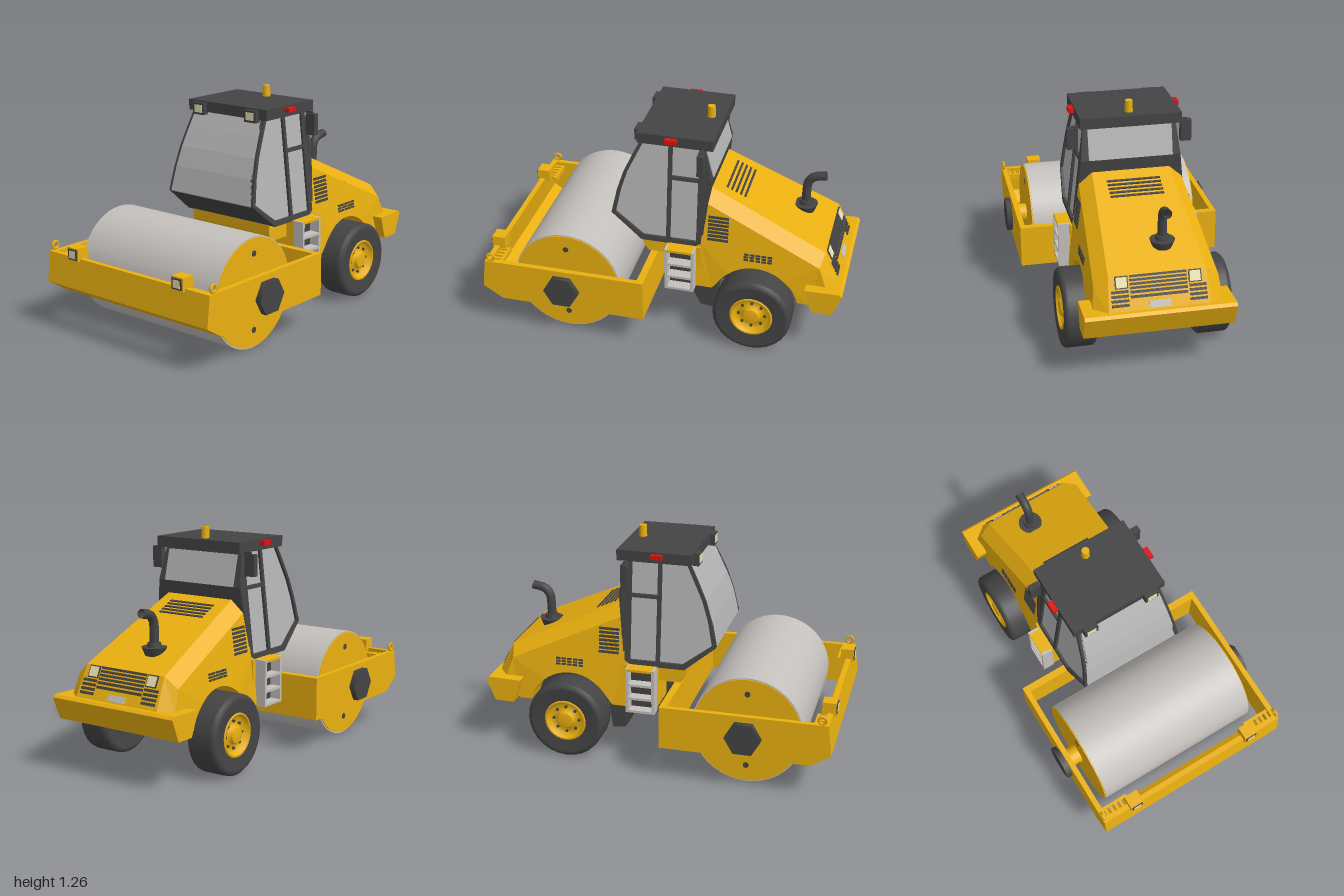
import * as THREE from 'three';

const mat = (color, side = THREE.FrontSide) => new THREE.MeshStandardMaterial({ color, side });
const yellow = mat(0xeab010), dark = mat(0x444444), steel = mat(0xc4c0bc), glass = mat(0xb4b4b4);
const red = mat(0xe01010), cream = mat(0xe8e0b0), yellowThin = mat(0xeab010, THREE.DoubleSide);

function add(parent, name, geo, material, x = 0, y = 0, z = 0) {
  const m = new THREE.Mesh(geo, material);
  m.name = name;
  m.position.set(x, y, z);
  parent.add(m);
  return m;
}
// box given by its limits on each axis
function box(parent, name, material, x0, x1, y0, y1, z0, z1) {
  return add(parent, name, new THREE.BoxGeometry(x1 - x0, y1 - y0, z1 - z0), material,
    (x0 + x1) / 2, (y0 + y1) / 2, (z0 + z1) / 2);
}
const cyl = (r0, r1, h, n = 24) => new THREE.CylinderGeometry(r0, r1, h, n);
const cylZ = (r, h, n = 24) => cyl(r, r, h, n).rotateX(Math.PI / 2);
const poly = pts => new THREE.Shape(pts.map(p => new THREE.Vector2(p[0], p[1])));
// extrude a side profile over z = 0..1, then place every vertex by z = rule(t, y)
function extrude(shape, rule) {
  const g = new THREE.ExtrudeGeometry(shape, { depth: 1, bevelEnabled: false, curveSegments: 14 });
  const p = g.attributes.position;
  for (let i = 0; i < p.count; i++) p.setZ(i, rule(p.getZ(i), p.getY(i)));
  g.computeVertexNormals();
  return g;
}
const slab = (shape, z0, z1) => extrude(shape, t => z0 + t * (z1 - z0));
const cabHalf = y => 0.257 + (1.13 - y) * 0.115;
const hoodHalf = y => Math.min(0.345, 0.287 + (0.825 - y) * 0.14);

function drumAndFrame(root) {
  const g = new THREE.Group();
  g.name = 'drumFrame';
  root.add(g);
  add(g, 'drum', cylZ(0.305, 0.97, 40), steel, -0.53, 0.305, 0);
  add(g, 'drumAxle', cylZ(0.055, 1.17), yellow, -0.53, 0.31, 0);
  const side = poly([[-0.065, 0.19], [-0.89, 0.19], [-1, 0.26], [-0.98, 0.43], [-0.065, 0.43]]);
  for (const s of [-1, 1]) {
    add(g, 'drumDisc', cylZ(0.298, 0.012, 40), yellow, -0.53, 0.305, s * 0.485);
    for (const y of [0.1, 0.52]) add(g, 'drumPlug', cylZ(0.017, 0.012, 8), dark, -0.53, y, s * 0.488);
    add(g, 'frameSide', slab(side, s > 0 ? 0.553 : -0.583, s > 0 ? 0.583 : -0.553), yellow);
    const hub = add(g, 'hexHub', cylZ(0.1, 0.035, 6), dark, -0.53, 0.31, s * 0.598);
    hub.rotation.z = Math.PI / 2;
    hub.geometry.computeBoundingBox();
    if (hub.geometry.boundingBox.max.x > 0.095) hub.rotation.z = 0;
    // towing eye
    add(g, 'towEye', new THREE.TorusGeometry(0.02, 0.008, 6, 14), yellow, -0.945, 0.457, s * 0.575);
    // front work lamp
    box(g, 'lampHousing', yellow, -0.995, -0.92, 0.415, 0.487, s * 0.38 - 0.04, s * 0.38 + 0.04);
    box(g, 'lampRim', dark, -1, -0.99, 0.422, 0.48, s * 0.38 - 0.032, s * 0.38 + 0.032);
    box(g, 'lampLens', cream, -1.002, -0.992, 0.43, 0.472, s * 0.38 - 0.023, s * 0.38 + 0.023);
    // step treads behind the front plate
    for (let i = 0; i < 5; i++) {
      const z = s * (0.41 + i * 0.032);
      box(g, 'treadBar', yellow, -0.955, -0.9, 0.39, 0.41, z - 0.008, z + 0.008);
    }
    box(g, 'treadRail', yellow, -0.91, -0.895, 0.38, 0.41, s * 0.475 - 0.08, s * 0.475 + 0.08);
  }
  add(g, 'frontPlate', slab(poly([[-1, 0.26], [-0.89, 0.19], [-0.89, 0.215], [-0.967, 0.27],
    [-0.95, 0.43], [-0.98, 0.43]]), -0.553, 0.553), yellow);
  box(g, 'rearBeam', yellow, -0.105, -0.065, 0.19, 0.43, -0.553, 0.553);
}

function cab(root) {
  const g = new THREE.Group();
  g.name = 'cab';
  root.add(g);
  const outline = [[-0.315, 0.69], [-0.14, 0.55], [0.185, 0.55], [0.205, 0.58], [0.24, 0.95],
    [0.19, 1.15], [-0.15, 1.15], [-0.2, 1.05], [-0.25, 0.94], [-0.285, 0.83]];
  add(g, 'cabGlass', extrude(poly(outline), (t, y) => (2 * t - 1) * (cabHalf(y) - 0.015)), glass);
  // side frames with window openings
  const windows = [
    [[-0.292, 0.695], [-0.13, 0.575], [0.0, 0.575], [0.0, 1.13], [-0.14, 1.13], [-0.23, 0.94], [-0.265, 0.83]],
    [[0.022, 0.575], [0.17, 0.575], [0.185, 0.6], [0.215, 0.93], [0.022, 0.93]],
    [[0.022, 0.95], [0.214, 0.95], [0.172, 1.13], [0.022, 1.13]]];
  const frame = poly(outline);
  windows.forEach(w => frame.holes.push(new THREE.Path(w.map(p => new THREE.Vector2(p[0], p[1])))));
  for (const s of [-1, 1]) {
    add(g, 'cabSideFrame', extrude(frame, (t, y) => s > 0 ? cabHalf(y) - 0.025 + t * 0.025
      : -cabHalf(y) + t * 0.025), dark);
    // mirror on its arm
    box(g, 'mirror', dark, 0.175, 0.21, 1.01, 1.13, s * 0.315 - 0.03, s * 0.315 + 0.03);
    box(g, 'mirrorArm', dark, 0.19, 0.2, 1.13, 1.142, s * 0.285 - 0.035, s * 0.285 + 0.035);
    box(g, 'sideMarker', red, -0.01, 0.055, 1.162, 1.186, s * 0.293 - 0.017, s * 0.293 + 0.017);
    box(g, 'roofLamp', dark, -0.197, -0.16, 1.12, 1.187, s * 0.187 - 0.04, s * 0.187 + 0.04);
    box(g, 'roofLampLens', cream, -0.2, -0.19, 1.132, 1.175, s * 0.187 - 0.027, s * 0.187 + 0.027);
  }
  // rear wall, rear window and floor pan
  const inner = (t, y) => (2 * t - 1) * (cabHalf(y) - 0.002);
  add(g, 'rearWall', extrude(poly([[0.17, 0.56], [0.207, 0.58], [0.242, 0.95], [0.192, 1.15], [0.17, 1.15]]),
    inner), dark);
  add(g, 'rearWindow', slab(poly([[0.2, 0.95], [0.247, 0.95], [0.204, 1.122], [0.17, 1.122]]), -0.233, 0.233), glass);
  add(g, 'floorPan', extrude(poly([[-0.312, 0.685], [-0.14, 0.545], [0.185, 0.545], [0.185, 0.56], [-0.135, 0.56]]),
    inner), dark);
  // roof and beacon
  box(g, 'roof', dark, -0.17, 0.25, 1.135, 1.195, -0.28, 0.28);
  add(g, 'beacon', cyl(0.021, 0.023, 0.065, 12), yellow, 0.178, 1.227, 0);
}

function hood(root) {
  const g = new THREE.Group();
  g.name = 'engineHood';
  root.add(g);
  // side walls with wheel arches
  const s = new THREE.Shape();
  s.moveTo(0.17, 0.3);
  [[0.17, 0.55], [0.2, 0.57], [0.2, 0.825], [0.86, 0.52], [0.905, 0.4], [0.82, 0.28]].forEach(p => s.lineTo(p[0], p[1]));
  s.absarc(0.515, 0.22, 0.245, 0.25, 2.6, false);
  s.lineTo(0.27, 0.3);
  add(g, 'bodySides', extrude(s, (t, y) => (2 * t - 1) * hoodHalf(y)), yellow);
  // chamfered hood top: shoulder and top edge at three stations
  const stations = [[[0.2, 0.825, 0.287], [0.22, 0.885, 0.215]],
    [[0.86, 0.52, 0.33], [0.88, 0.58, 0.258]], [[0.905, 0.4, 0.345], [0.968, 0.4, 0.27]]];
  const loops = stations.map(([l, t]) => [l, t, [t[0], t[1], -t[2]], [l[0], l[1], -l[2]]]);
  const v = [];
  for (let i = 0; i < 2; i++) for (let j = 0; j < 3; j++) {
    const a = loops[i][j], b = loops[i][j + 1], c = loops[i + 1][j + 1], d = loops[i + 1][j];
    v.push(...a, ...d, ...c, ...a, ...c, ...b);
  }
  const cap = new THREE.BufferGeometry();
  cap.setAttribute('position', new THREE.Float32BufferAttribute(v, 3));
  cap.computeVertexNormals();
  add(g, 'hoodTop', cap, yellowThin);
  add(g, 'rearBumper', slab(poly([[0.795, 0.41], [0.985, 0.415], [1, 0.4], [0.95, 0.275], [0.84, 0.275]]), -0.4, 0.4), yellow);
  // louvres on the slope
  for (let i = 0; i < 5; i++) {
    const x = 0.305 + i * 0.025;
    add(g, 'topLouvre', new THREE.BoxGeometry(0.012, 0.008, 0.295), dark, x, 0.886 - (x - 0.22) * 0.462, 0).rotation.z = -0.433;
  }
  // parts lying on the tail face
  const tail = (name, m, y, h, z, w) => {
    add(g, name, new THREE.BoxGeometry(0.012, h, w), m, 0.88 + (0.58 - y) * 0.489, y, z).rotation.z = 0.455;
  };
  for (let i = 0; i < 4; i++) tail('tailLouvre', dark, 0.573 - i * 0.018, 0.012, 0, 0.3);
  for (let i = 0; i < 2; i++) tail('tailLouvre', dark, 0.5 - i * 0.022, 0.014, 0, 0.3);
  tail('tailPlate', steel, 0.437, 0.036, 0, 0.11);
  for (const k of [-1, 1]) {
    tail('tailLampRim', dark, 0.548, 0.066, k * 0.193, 0.068);
    add(g, 'tailLamp', new THREE.BoxGeometry(0.016, 0.054, 0.056), cream, 0.896, 0.548, k * 0.193).rotation.z = 0.455;
    for (let i = 0; i < 4; i++) tail('tailLouvre', dark, 0.505 - i * 0.021, 0.014, k * 0.205, 0.09);
    // side louvres and small vents
    const sideVent = (x, y, w, h) => {
      add(g, 'sideVent', new THREE.BoxGeometry(w, h, 0.01), dark, x, y, k * hoodHalf(y)).rotation.x = -k * 0.139;
    };
    for (let i = 0; i < 7; i++) sideVent(0.292, 0.607 + i * 0.022, 0.115, 0.014);
    for (let i = 0; i < 5; i++) for (let j = 0; j < 3; j++) sideVent(0.455 + i * 0.033, 0.512 + j * 0.016, 0.025, 0.011);
  }
  // exhaust stack
  add(g, 'exhaustBase', cyl(0.067, 0.05, 0.045), dark, 0.715, 0.66, -0.063);
  add(g, 'exhaustCollar', cyl(0.035, 0.04, 0.03), dark, 0.715, 0.69, -0.063);
  const path = new THREE.CatmullRomCurve3([[0.715, 0.65], [0.715, 0.76], [0.722, 0.82], [0.75, 0.855], [0.82, 0.872]]
    .map(p => new THREE.Vector3(p[0], p[1], -0.063)));
  add(g, 'exhaustPipe', new THREE.TubeGeometry(path, 24, 0.025, 12), mat(0x444444, THREE.DoubleSide));
}

function chassis(root) {
  const g = new THREE.Group();
  g.name = 'chassis';
  root.add(g);
  // deck under the cab
  add(g, 'cabDeck', slab(poly([[-0.145, 0.56], [-0.14, 0.49], [-0.11, 0.45], [0.02, 0.45], [0.02, 0.56]]), -0.28, 0.28), yellow);
  box(g, 'deckRear', yellow, 0.015, 0.2, 0.3, 0.55, -0.335, 0.335);
  // articulation joint
  box(g, 'jointBlock', dark, -0.07, 0.03, 0.25, 0.37, -0.12, 0.12);
  box(g, 'jointYoke', dark, -0.04, 0.02, 0.22, 0.41, -0.08, 0.08);
  add(g, 'jointPin', cyl(0.05, 0.05, 0.38), dark, 0.055, 0.36, 0);
  add(g, 'jointFlange', cyl(0.083, 0.083, 0.022), dark, 0.05, 0.166, 0);
  box(g, 'mainBeam', dark, 0.08, 0.85, 0.27, 0.42, -0.2, 0.2);
  // rear axle
  add(g, 'axle', cylZ(0.045, 0.6), dark, 0.515, 0.225, 0);
  add(g, 'differential', cylZ(0.105, 0.18, 12), dark, 0.515, 0.225, 0);
  for (const s of [-1, 1]) {
    add(g, 'axleFlange', cylZ(0.09, 0.03), dark, 0.515, 0.22, s * 0.262);
    add(g, 'sideTank', slab(poly([[0.17, 0.32], [0.3, 0.33], [0.275, 0.15], [0.2, 0.16], [0.14, 0.28]]),
      s * 0.26 - 0.06, s * 0.26 + 0.06), dark);
    // access ladder
    for (const x of [0.018, 0.167]) box(g, 'ladderSide', steel, x - 0.008, x + 0.008, 0.29, 0.55, s * 0.367 - 0.033, s * 0.367 + 0.033);
    for (const y of [0.298, 0.375, 0.455, 0.543]) box(g, 'ladderStep', y > 0.5 ? yellow : steel, 0.02, 0.165, y - 0.007, y + 0.007, s * 0.367 - 0.033, s * 0.367 + 0.033);
    box(g, 'ladderBack', dark, 0.026, 0.16, 0.3, 0.54, s * 0.335 - 0.003, s * 0.335 + 0.003);
  }
}

function wheel(root, s) {
  const g = new THREE.Group();
  g.name = s > 0 ? 'leftWheel' : 'rightWheel';
  g.position.set(0.515, 0.22, s * 0.37);
  if (s < 0) g.rotation.y = Math.PI;
  root.add(g);
  const lathe = pts => new THREE.LatheGeometry(pts.map(p => new THREE.Vector2(p[0], p[1])), 28).rotateX(Math.PI / 2);
  add(g, 'tyre', lathe([[0.12, -0.08], [0.19, -0.09], [0.205, -0.088], [0.218, -0.075], [0.22, -0.06],
    [0.22, 0.06], [0.218, 0.075], [0.205, 0.088], [0.19, 0.09], [0.118, 0.08]]), mat(0x444444, THREE.DoubleSide));
  add(g, 'rim', lathe([[0.122, 0.078], [0.118, 0.087], [0.106, 0.085], [0.098, 0.05], [0.05, 0.055],
    [0.048, 0.078], [0.04, 0.085], [0, 0.085]]), yellowThin);
  add(g, 'rimBack', cylZ(0.122, 0.02), dark, 0, 0, -0.075);
  for (let i = 0; i < 8; i++) {
    const a = i * Math.PI / 4;
    add(g, 'wheelNut', cylZ(0.008, 0.016, 6), dark, 0.074 * Math.cos(a), 0.074 * Math.sin(a), 0.056);
  }
}

export function createModel() {
  const root = new THREE.Group();
  root.name = 'roadRoller';
  drumAndFrame(root);
  cab(root);
  hood(root);
  chassis(root);
  for (const s of [-1, 1]) wheel(root, s);
  return root;
}
